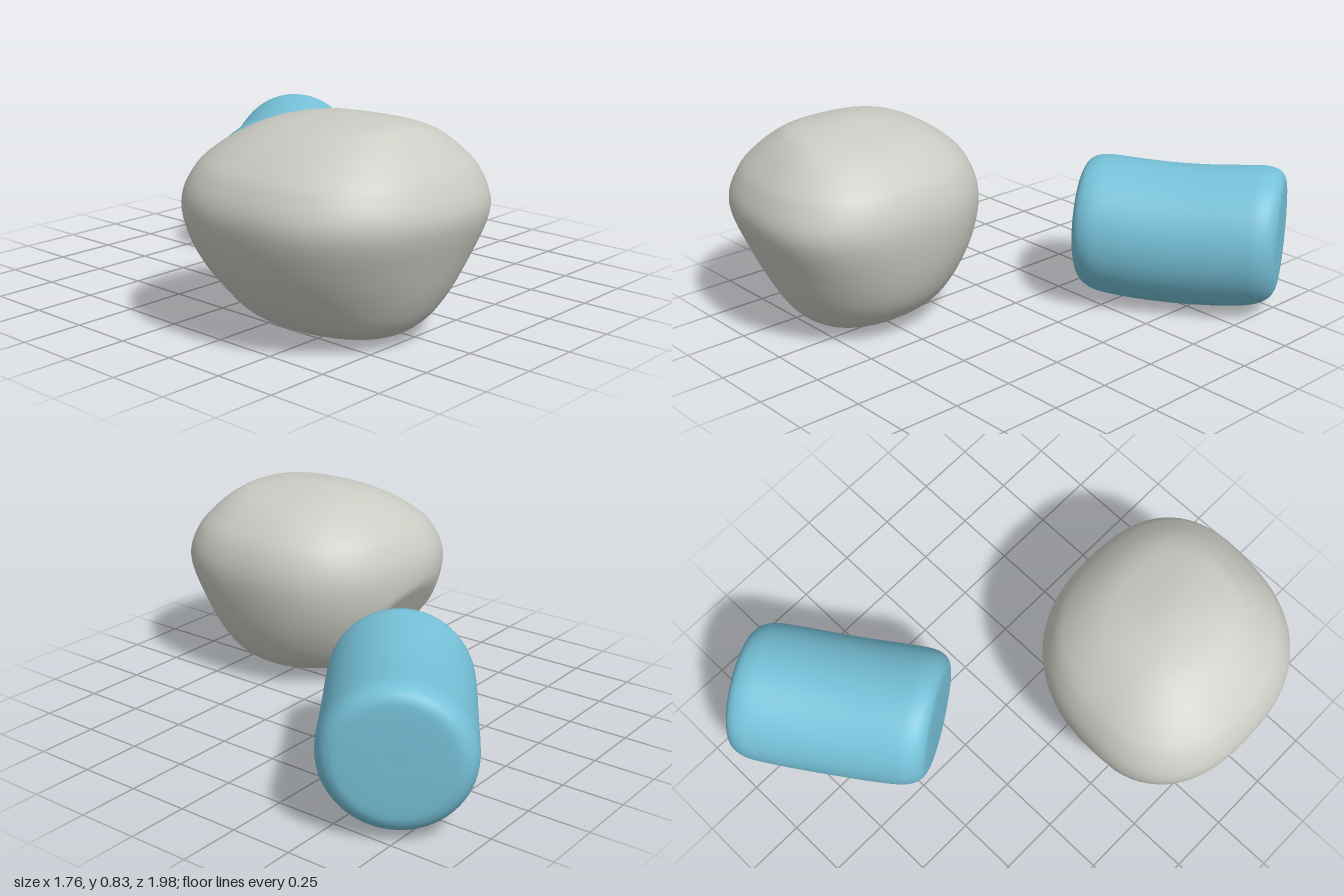
import * as THREE from 'three';
import { mergeVertices } from 'three/addons/utils/BufferGeometryUtils.js';

const stoneGrey = new THREE.MeshStandardMaterial({ color: 0xcacbc3 });
stoneGrey.name = 'stone grey';
const skyBlue = new THREE.MeshStandardMaterial({ color: 0x76c1d8 });
skyBlue.name = 'sky blue';

// Move every vertex by a rule
function deform(geometry, rule) {
  const pos = geometry.attributes.position, v = new THREE.Vector3();
  for (let i = 0; i < pos.count; i++) {
    rule(v.fromBufferAttribute(pos, i));
    pos.setXYZ(i, v.x, v.y, v.z);
  }
}

// Pebble: squarish cross-sections stacked upwards, wide above and tapering below
function createPebble() {
  // y, min x, max x, min z, max z
  const sections = [
    [0.00, -0.35, -0.35, 0.56, 0.56],
    [0.02, -0.50, -0.21, 0.37, 0.71],
    [0.08, -0.655, -0.09, 0.18, 0.81],
    [0.18, -0.755, -0.005, 0.09, 0.88],
    [0.33, -0.845, 0.05, 0.02, 0.945],
    [0.50, -0.89, 0.075, 0.00, 1.00],
    [0.62, -0.85, 0.045, 0.04, 0.965],
    [0.70, -0.77, -0.02, 0.11, 0.905],
    [0.77, -0.66, -0.12, 0.22, 0.83],
    [0.81, -0.55, -0.26, 0.34, 0.745],
    [0.83, -0.40, -0.40, 0.53, 0.53],
  ];
  // One closed outline: up the min side, back down the max side
  const up = sections.map(([y, x0, , z0]) => new THREE.Vector3(x0, y, z0));
  const down = sections.slice(1, -1).reverse().map(([y, , x1, , z1]) => new THREE.Vector3(x1, y, z1));
  const outline = new THREE.CatmullRomCurve3([...up, ...down], true, 'catmullrom', 0.5);

  const rows = 60, cols = 72, points = [], index = [];
  const power = (c, n) => Math.sign(c) * Math.abs(c) ** (2 / n);
  const cut = new THREE.Plane().setFromNormalAndCoplanarPoint(
    new THREE.Vector3(0, -0.5, -0.86).normalize(), new THREE.Vector3(0, 0.08, 0.2));
  const p = new THREE.Vector3();
  for (let k = 0; k <= rows; k++) {
    const t = k / rows / 2;
    const a = outline.getPoint(t), b = outline.getPoint((1 - t) % 1);
    const n = 2.05 + 0.4 * THREE.MathUtils.smoothstep(a.y, 0.1, 0.5);
    for (let j = 0; j < cols; j++) {
      const angle = j / cols * Math.PI * 2;
      const dx = (b.x - a.x) / 2 * power(Math.cos(angle), n);
      const dz = (b.z - a.z) / 2 * power(Math.sin(angle), n);
      p.set((a.x + b.x) / 2 + dx, a.y, (a.z + b.z) / 2 + dz + 0.12 * dx);
      // Flat patch low on the back
      const over = cut.distanceToPoint(p);
      if (over > 0) p.addScaledVector(cut.normal, -over);
      points.push(p.x, p.y, p.z);
      if (k < rows) {
        const i = k * cols + j, i2 = k * cols + (j + 1) % cols;
        index.push(i, i + cols, i2, i2, i + cols, i2 + cols);
      }
    }
  }
  const geometry = new THREE.BufferGeometry();
  geometry.setAttribute('position', new THREE.Float32BufferAttribute(points, 3));
  geometry.setIndex(index);
  const merged = mergeVertices(geometry, 1e-5);
  merged.computeVertexNormals();
  const mesh = new THREE.Mesh(merged, stoneGrey);
  mesh.name = 'pebble';
  return mesh;
}

// Lying cylinder with softened rims, slightly sagging in the middle
function createRoller() {
  const half = [[0, 0.41], [0.1, 0.41], [0.2, 0.407], [0.237, 0.398], [0.262, 0.378],
    [0.278, 0.345], [0.286, 0.3], [0.289, 0.2], [0.289, 0.1]];
  const profile = [
    ...half.map(([r, s]) => new THREE.Vector2(r, -s)),
    new THREE.Vector2(0.289, 0),
    ...half.map(([r, s]) => new THREE.Vector2(r, s)).reverse(),
  ];
  let geometry = new THREE.LatheGeometry(new THREE.SplineCurve(profile).getPoints(72), 64);
  geometry.rotateZ(-Math.PI / 2);
  deform(geometry, (v) => {
    v.y += 0.2 * v.x * v.x;
    v.x -= 0.05 * v.z;
  });
  geometry.deleteAttribute('uv');
  geometry.deleteAttribute('normal');
  geometry = mergeVertices(geometry, 1e-5);
  geometry.computeVertexNormals();
  const mesh = new THREE.Mesh(geometry, skyBlue);
  mesh.name = 'roller';
  mesh.rotation.y = THREE.MathUtils.degToRad(34.3);
  mesh.position.set(0.415, 0.289, -0.54);
  return mesh;
}

export function createModel() {
  const model = new THREE.Group();
  model.name = 'pebble and roller';
  model.add(createPebble(), createRoller());
  return model;
}
